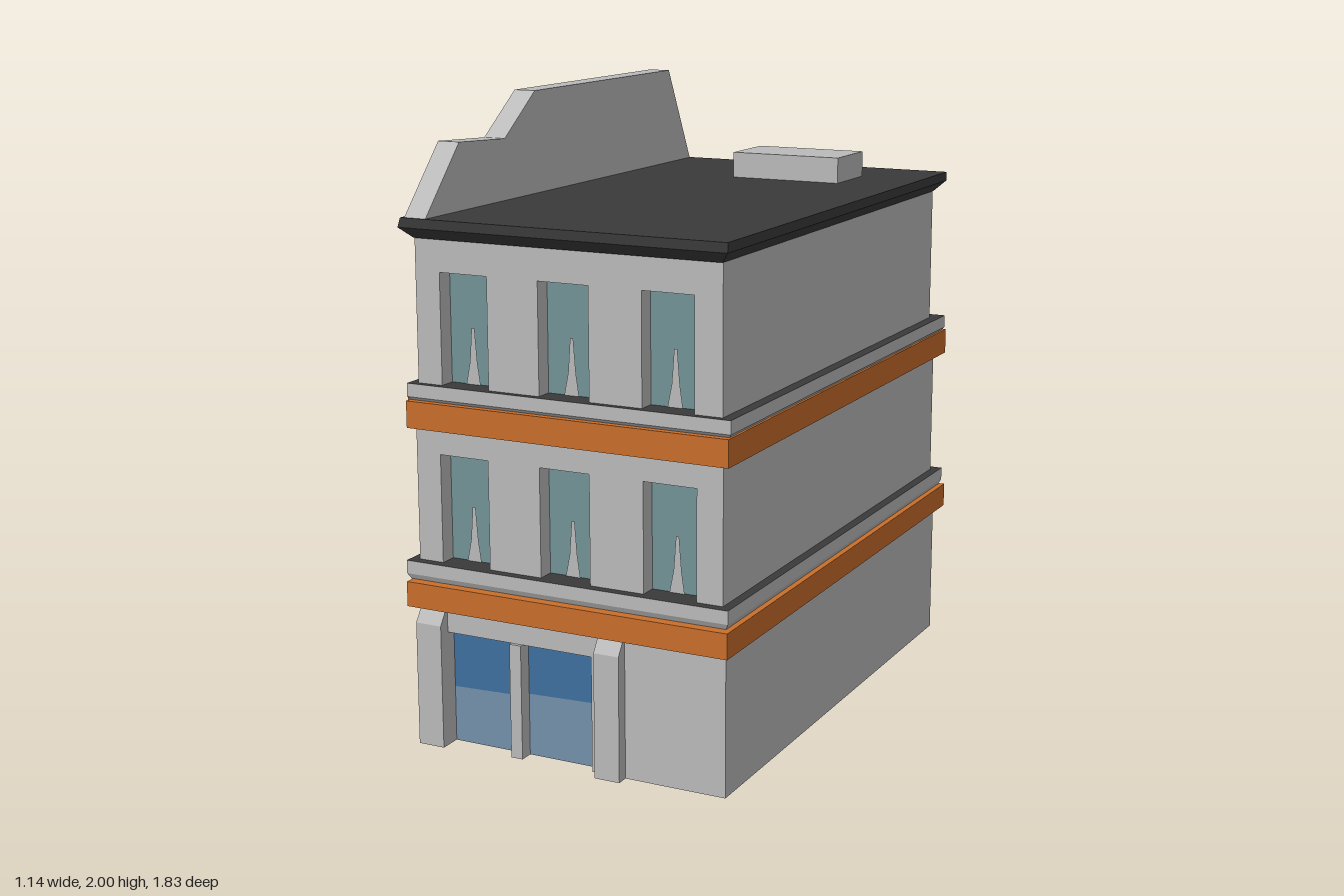
import * as THREE from 'three';

const mat = (name, color, side = THREE.FrontSide) => {
  const m = new THREE.MeshStandardMaterial({ color, side });
  m.name = name;
  return m;
};

export function createModel() {
  const root = new THREE.Group();
  root.name = 'cornerShopBuilding';

  const stone = mat('paleStone', 0xbababa);
  const dark = mat('darkRoof', 0x3a3a3a);
  const orange = mat('orangeTrim', 0xc86e2b);
  const teal = mat('tealGlass', 0x729296, THREE.DoubleSide);
  const blue = mat('deepBlueGlass', 0x3f6f9e, THREE.DoubleSide);
  const paleBlue = mat('paleBlueGlass', 0x7390aa, THREE.DoubleSide);

  const add = (parent, name, geometry, material) => {
    const mesh = new THREE.Mesh(geometry, material);
    mesh.name = name;
    parent.add(mesh);
    return mesh;
  };

  // Box given by its limits
  const box = (parent, name, material, x0, x1, y0, y1, z0, z1) => {
    const g = new THREE.BoxGeometry(x1 - x0, y1 - y0, z1 - z0);
    g.translate((x0 + x1) / 2, (y0 + y1) / 2, (z0 + z1) / 2);
    return add(parent, name, g, material);
  };

  // Stack of rectangles [y, x0, x1, z0, z1]; group 0 = sides and base, group 1 = top
  const loft = (sections) => {
    const rings = sections.map(([y, x0, x1, z0, z1]) =>
      [[x0, y, z1], [x1, y, z1], [x1, y, z0], [x0, y, z0]]);
    const pos = [];
    const quad = (a, b, c, d) => pos.push(...a, ...b, ...c, ...a, ...c, ...d);
    const first = rings[0], last = rings[rings.length - 1];
    quad(first[3], first[2], first[1], first[0]);
    for (let k = 0; k < rings.length - 1; k++) {
      for (let i = 0; i < 4; i++) {
        const j = (i + 1) % 4;
        quad(rings[k][i], rings[k][j], rings[k + 1][j], rings[k + 1][i]);
      }
    }
    const sideCount = pos.length / 3;
    quad(...last);
    const g = new THREE.BufferGeometry();
    g.setAttribute('position', new THREE.Float32BufferAttribute(pos, 3));
    g.addGroup(0, sideCount, 0);
    g.addGroup(sideCount, 6, 1);
    g.computeVertexNormals();
    return g;
  };

  const polygon = (points) => new THREE.Shape(points.map(([x, y]) => new THREE.Vector2(x, y)));

  // Wall panel with openings [left, right, top] cut up from its lower edge
  const panel = (u0, u1, y0, y1, openings, back, depth) => {
    const pts = [[u0, y0]];
    for (const [a, b, top] of openings) pts.push([a, y0], [a, top], [b, top], [b, y0]);
    pts.push([u1, y0], [u1, y1], [u0, y1]);
    const g = new THREE.ExtrudeGeometry(polygon(pts), { depth, bevelEnabled: false });
    return g.translate(0, 0, back);
  };

  const flat = (points, z) => new THREE.ShapeGeometry(polygon(points)).translate(0, 0, z);

  // Shop front facing local +z: panel, two-tone glass, mullion and pilasters
  const shopFront = (name, u0, u1, plane, windows, pilasters, reach) => {
    const g = new THREE.Group();
    g.name = name;
    root.add(g);
    const top = 0.37;
    add(g, 'shopWall', panel(u0, u1, 0, 0.46, windows.map(([a, b]) => [a, b, top]), plane - 0.04, 0.04), stone);
    windows.forEach(([a, b], i) => {
      const s = 0.18 + i * 0.02;
      const z = plane - 0.035;
      add(g, 'upperGlass', flat([[a, s], [b, s + 0.008], [b, top], [a, top]], z), blue);
      add(g, 'lowerGlass', flat([[a, 0], [b, 0], [b, s + 0.008], [a, s]], z), paleBlue);
    });
    box(g, 'mullion', stone, windows[0][1], windows[1][0], 0, top, plane - 0.06, plane + 0.012);
    for (const [a, b] of pilasters) {
      add(g, 'pilaster', loft([
        [0, a, b, plane - 0.06, plane + reach],
        [0.40, a, b, plane - 0.06, plane + reach],
        [0.455, a, b, plane - 0.06, plane + 0.002],
      ]), [stone, stone]);
    }
    return g;
  };

  // Ground floor, hollow and open underneath
  shopFront('frontShop', -0.51, 0.54, 0.86,
    [[-0.42, -0.19], [-0.15, 0.09]], [[-0.51, -0.42], [0.12, 0.205]], 0.04);
  const sideShop = shopFront('sideShop', -0.88, 0.82, 0.51,
    [[0.10, 0.335], [0.375, 0.605]], [[-0.01, 0.075], [0.62, 0.71]], 0.065);
  sideShop.rotation.y = -Math.PI / 2;
  box(root, 'groundLeftWall', stone, 0.525, 0.54, 0, 0.46, -0.88, 0.82);
  box(root, 'groundBackWall', stone, -0.47, 0.525, 0, 0.46, -0.88, -0.865);

  // Two upper storeys, each with an orange band, a ledge and three windows
  const storeys = [
    {
      band: [-0.53, 0.57, 0.455, 0.535, -0.91, 0.915],
      ledge: [-0.545, 0.56, -0.905, 0.89], ledgeTop: 0.595,
      wall: [-0.515, 0.53, -0.87, 0.86], wallTop: 1.025, windowTop: 0.94,
      windows: [[-0.43, -0.26], [-0.08, 0.09], [0.27, 0.445]],
    },
    {
      band: [-0.53, 0.56, 1.02, 1.105, -0.91, 0.89],
      ledge: [-0.535, 0.56, -0.895, 0.875], ledgeTop: 1.157,
      wall: [-0.505, 0.525, -0.835, 0.855], wallTop: 1.61, windowTop: 1.505,
      windows: [[-0.42, -0.255], [-0.08, 0.09], [0.265, 0.435]],
    },
  ];
  for (const s of storeys) {
    const storey = new THREE.Group();
    storey.name = 'upperStorey';
    root.add(storey);

    box(storey, 'orangeBand', orange, ...s.band);
    box(storey, 'sideBand', orange, -0.57, -0.53, s.band[2], s.band[3], -0.835, 0.82);

    const [lx0, lx1, lz0, lz1] = s.ledge;
    const y = s.ledgeTop, i = 0.012;
    add(storey, 'ledge', loft([
      [s.band[3] - 0.005, lx0 + i, lx1 - i, lz0 + i, lz1 - i],
      [y - 0.042, lx0, lx1, lz0, lz1],
      [y, lx0, lx1, lz0, lz1],
    ]), [stone, dark]);

    const [x0, x1, z0, z1] = s.wall;
    const recess = z1 - 0.06;
    box(storey, 'storeyWalls', stone, x0, x1, y - 0.01, s.wallTop, z0, recess);
    add(storey, 'windowWall',
      panel(x0, x1, y - 0.01, s.wallTop, s.windows.map(([a, b]) => [a, b, s.windowTop]), recess, 0.06), stone);
    for (const [a, b] of s.windows) {
      const c = (a + b) / 2;
      add(storey, 'windowGlass',
        flat([[a, y], [b, y], [b, s.windowTop], [a, s.windowTop]], recess + 0.003), teal);
      add(storey, 'windowOrnament', flat([
        [c - 0.028, y], [c + 0.022, y], [c + 0.012, y + 0.07],
        [c + 0.004, y + 0.175], [c - 0.006, y + 0.175], [c - 0.014, y + 0.07],
      ], recess + 0.008), stone);
    }
  }

  // Flared dark cornice and flat roof
  add(root, 'roofCornice', loft([
    [1.605, -0.505, 0.525, -0.84, 0.86],
    [1.64, -0.535, 0.56, -0.875, 0.90],
    [1.67, -0.525, 0.56, -0.875, 0.90],
  ]), [dark, dark]);

  // Stepped parapet along the right side
  const parapet = new THREE.ExtrudeGeometry(polygon([
    [-0.87, 1.665], [0.90, 1.665], [0.70, 1.88], [0.435, 1.865], [0.245, 2], [-0.70, 2],
  ]), { depth: 0.075, bevelEnabled: false });
  parapet.translate(0, 0, 0.438).rotateY(-Math.PI / 2);
  add(root, 'parapet', parapet, stone);

  // Rooftop unit
  box(root, 'roofUnit', stone, -0.045, 0.34, 1.665, 1.755, -0.635, -0.415);

  return root;
}
